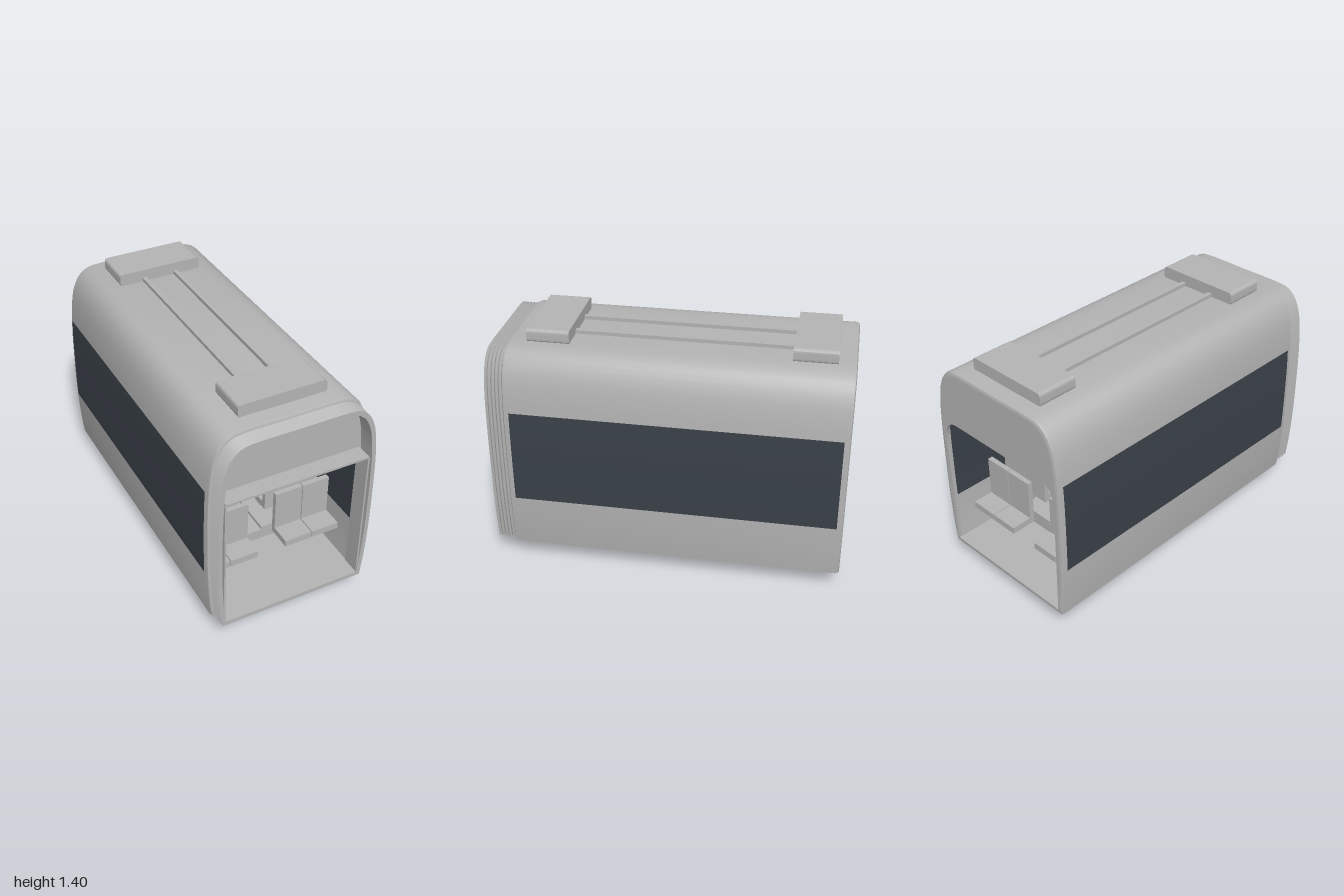
import * as THREE from 'three';
import { toCreasedNormals } from 'three/addons/utils/BufferGeometryUtils.js';

const shellGrey = new THREE.MeshStandardMaterial({ color: 0xb4b4b4 });
const windowDark = new THREE.MeshStandardMaterial({ color: 0x3a4149, side: THREE.DoubleSide });

// Half of the body cross-section, from bottom corner to roof centre
const half = new THREE.CatmullRomCurve3([
  [0.45, 0.12], [0.463, 0.25], [0.473, 0.44], [0.475, 0.7], [0.47, 0.95], [0.458, 1.1],
  [0.435, 1.21], [0.395, 1.285], [0.345, 1.322], [0.28, 1.332], [0, 1.333],
].map(([x, y]) => new THREE.Vector3(x, y, 0))).getSpacedPoints(44);
const profile = [...half, ...half.slice(0, -1).reverse().map(p => new THREE.Vector3(-p.x, p.y, 0))];
const MID_Y = 0.73;
const MID_Z = -0.05;

function halfWidth(y) {
  const i = Math.max(1, half.findIndex(p => p.y >= y));
  const a = half[i - 1], b = half[i];
  return a.x + (b.x - a.x) * (y - a.y) / (b.y - a.y);
}

// Profile pulled inward by a distance
const inset = d => profile.map(p =>
  new THREE.Vector2(p.x * (1 - d / 0.475), MID_Y + (p.y - MID_Y) * (1 - d / 0.605)));

// Closed tube wall through rings of [z, inset]: outside front to back, then inside back to front
function tunnel(rings) {
  const pos = [], idx = [], n = profile.length;
  rings.forEach(([z, d], i) => {
    inset(d).forEach((p, j) => {
      pos.push(p.x, p.y, z);
      const a = i * n + j, b = i * n + (j + 1) % n;
      const ni = ((i + 1) % rings.length) * n;
      const c = ni + j, e = ni + (j + 1) % n;
      idx.push(a, c, b, b, c, e);
    });
  });
  const g = new THREE.BufferGeometry();
  g.setAttribute('position', new THREE.Float32BufferAttribute(pos, 3));
  g.setIndex(idx);
  g.computeVertexNormals();
  return toCreasedNormals(g, 0.6);
}

export function createModel() {
  const model = new THREE.Group();

  function add(name, geometry, x = 0, y = 0, z = 0, material = shellGrey, parent = model) {
    const m = new THREE.Mesh(geometry, material);
    m.name = name;
    m.position.set(x, y, z);
    parent.add(m);
    return m;
  }
  // Box given by its limits
  const box = (name, x0, x1, y0, y1, z0, z1, material, parent) =>
    add(name, new THREE.BoxGeometry(x1 - x0, y1 - y0, z1 - z0),
      (x0 + x1) / 2, (y0 + y1) / 2, (z0 + z1) / 2, material, parent);
  // Cylinder lying along x
  const roller = (name, r0, r1, length, x, y, z, sides = 28) =>
    add(name, new THREE.CylinderGeometry(r0, r1, length, sides).rotateZ(-Math.PI / 2), x, y, z);

  // Body shell with softened end edges
  add('bodyShell', tunnel([
    [0.9, 0.014], [0.895, 0.004], [0.88, 0], [-0.98, 0], [-0.995, 0.004], [-1, 0.014],
    [-1, 0.026], [0.9, 0.026],
  ]));

  // Folded gangway bellows
  const folds = [];
  for (let i = 0; i <= 10; i++) folds.push([1 - i * 0.0105, i % 2 ? 0.024 : 0.012]);
  add('gangwayBellows', tunnel([...folds, [0.895, 0.036], [1, 0.036]]));

  // End walls with a wide opening
  const wall = new THREE.Shape(inset(0.016));
  const hole = new THREE.Path();
  hole.moveTo(-0.425, 0.15);
  hole.lineTo(-0.432, 0.84);
  hole.quadraticCurveTo(-0.43, 0.985, -0.33, 0.985);
  hole.lineTo(0.33, 0.985);
  hole.quadraticCurveTo(0.43, 0.985, 0.432, 0.84);
  hole.lineTo(0.425, 0.15);
  hole.closePath();
  wall.holes.push(hole);
  const wallGeo = new THREE.ExtrudeGeometry(wall, { depth: 0.018, bevelEnabled: false, curveSegments: 8 });
  add('backEndWall', wallGeo, 0, 0, -0.999);
  add('frontEndWall', wallGeo, 0, 0, 0.881);

  // Lining of the front passage
  box('passageTopLining', -0.42, 0.42, 0.973, 0.985, 0.89, 0.995);

  for (const s of [-1, 1]) {
    box('passageSideLining', s * 0.42 - 0.005, s * 0.42 + 0.005, 0.15, 0.973, 0.89, 0.995);

    // Window bands follow the curve of the wall, outside and inside
    for (const off of [0.003, -0.032]) {
      const g = new THREE.PlaneGeometry(1.83, 0.55, 1, 14).rotateY(s * Math.PI / 2);
      const p = g.attributes.position;
      for (let i = 0; i < p.count; i++) p.setX(i, s * (halfWidth(p.getY(i) + 0.715) + off));
      g.computeVertexNormals();
      add('windowBand', g, 0, 0.715, MID_Z, windowDark);
    }

    // Roof rails, raised floor over the wheels, hand rails
    box('roofRail', s * 0.1 - 0.013, s * 0.1 + 0.013, 1.325, 1.355, -0.68, 0.58);
    box('wheelPlatform', s > 0 ? 0.08 : -0.435, s > 0 ? 0.435 : -0.08, 0.14, 0.23, -0.6, 0.5);
    add('handRail', new THREE.CylinderGeometry(0.005, 0.005, 1.2, 8).rotateX(Math.PI / 2), s * 0.168, 0.812, MID_Z);
  }
  box('aisleFloor', -0.08, 0.08, 0.14, 0.21, -0.6, 0.5);

  // Roof equipment boxes with rounded edges
  const pod = new THREE.Shape();
  const w = 0.256, b = 1.327, t = 1.405, r = 0.022;
  pod.moveTo(-w + r, b);
  pod.lineTo(w - r, b);
  pod.quadraticCurveTo(w, b, w, b + r);
  pod.lineTo(w, t - r);
  pod.quadraticCurveTo(w, t, w - r, t);
  pod.lineTo(-w + r, t);
  pod.quadraticCurveTo(-w, t, -w, t - r);
  pod.lineTo(-w, b + r);
  pod.quadraticCurveTo(-w, b, -w + r, b);
  const podGeo = new THREE.ExtrudeGeometry(pod, { depth: 0.24, bevelEnabled: false, curveSegments: 4 });
  for (const z of [0.56, -0.9]) add('roofBox', podGeo, 0, 0, z);

  // Seats: a low row facing each end, a raised row facing the middle
  function seat(x, y, z, top, facing) {
    const g = new THREE.Group();
    g.name = 'seat';
    g.position.set(x, y, z);
    g.rotation.y = facing > 0 ? 0 : Math.PI;
    box('seatCushion', -0.085, 0.085, 0, 0.04, -0.015, 0.14, shellGrey, g);
    box('seatBack', -0.085, 0.085, 0.04, top - y, -0.015, 0.015, shellGrey, g);
    model.add(g);
  }
  for (const e of [-1, 1]) {
    for (const s of [-1, 1]) {
      for (const x of [0.173, 0.348]) {
        seat(s * x, 0.29, MID_Z + e * 0.67, 0.575, e);
        seat(s * x, 0.375, MID_Z + e * 0.55, 0.66, -e);
      }
      add('seatPedestal', new THREE.CylinderGeometry(0.04, 0.04, 0.15, 16), s * 0.34, 0.3, MID_Z + e * 0.48);
      box('floorHatch', s * 0.19 - 0.022, s * 0.19 + 0.022, 0.225, 0.236, MID_Z + e * 0.35 - 0.03, MID_Z + e * 0.35 + 0.03);
    }
  }

  // Hanging display
  box('displayCase', -0.123, 0.123, 0.866, 0.951, -0.075, -0.025);
  box('displayScreen', -0.11, 0.11, 0.873, 0.943, -0.025, -0.021, windowDark);
  add('displayPole', new THREE.CylinderGeometry(0.006, 0.006, 0.37, 8), 0, 1.13, MID_Z);

  // Running gear
  for (const z of [0.315, -0.4]) {
    roller('axle', 0.013, 0.013, 0.58, 0, 0.13, z, 12);
    for (const s of [-1, 1]) {
      roller('wheel', 0.113, 0.113, 0.035, s * 0.307, 0.13, z);
      roller('wheelFlange', 0.126, 0.126, 0.012, s * 0.293, 0.13, z);
      roller('brakeDisc', 0.08, 0.08, 0.018, s * 0.19, 0.13, z);
      box('axleBox', s * 0.345 - 0.025, s * 0.345 + 0.025, 0.095, 0.14, z - 0.05, z + 0.05);
    }
  }
  for (const z of [0.135, -0.225]) roller('driveMotor', 0.058, 0.058, 0.335, 0, 0.132, z, 12);

  return model;
}
